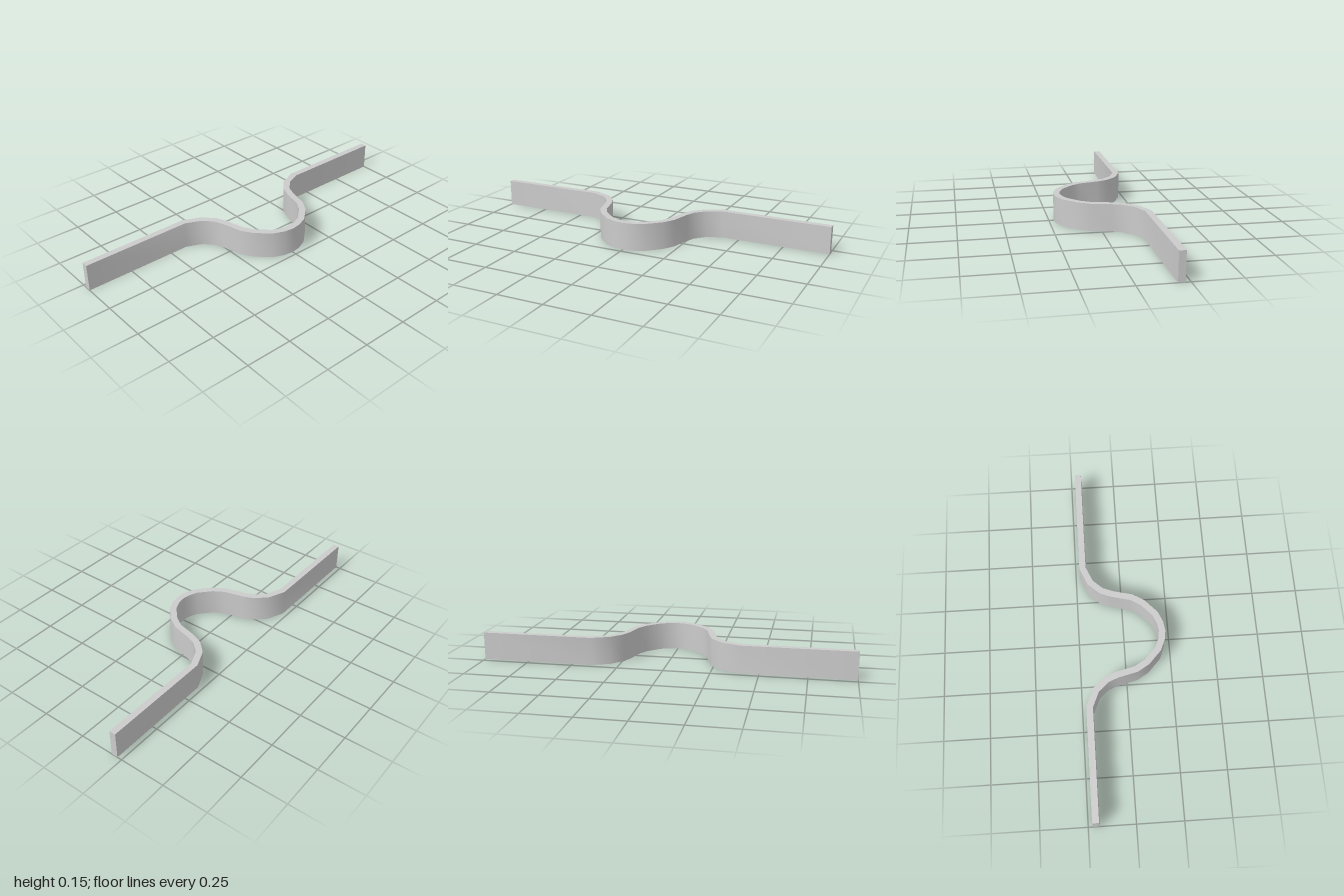
import * as THREE from 'three';
import { toCreasedNormals } from 'three/addons/utils/BufferGeometryUtils.js';

const HEIGHT = 0.15;
const THICKNESS = 0.035;

// Half of the strip's centre line as [x, z], from the middle of the bulge to the tip
const HALF = [
  [0, 0.207], [0.048, 0.2], [0.102, 0.177], [0.172, 0.112], [0.208, 0.053],
  [0.234, -0.053], [0.257, -0.11], [0.31, -0.168], [0.4, -0.207], [1, -0.207],
];

// Offsets a polyline sideways with mitred corners
function offsetLine(points, distance) {
  return points.map((p, i) => {
    const before = points[Math.max(i - 1, 0)];
    const after = points[Math.min(i + 1, points.length - 1)];
    const a = (i > 0 ? p.clone().sub(before) : after.clone().sub(p)).normalize();
    const b = (i < points.length - 1 ? after.clone().sub(p) : a.clone()).normalize();
    const miter = new THREE.Vector2(-a.y - b.y, a.x + b.x).normalize();
    const stretch = -a.y * miter.x + a.x * miter.y;
    return p.clone().addScaledVector(miter, distance / stretch);
  });
}

export function createModel() {
  const model = new THREE.Group();
  model.name = 'bentStrap';

  // Mirror the half line to get the full path, then thicken it
  const right = HALF.map(([x, z]) => new THREE.Vector2(x, z));
  const left = HALF.slice(1).reverse().map(([x, z]) => new THREE.Vector2(-x, z));
  const path = [...left, ...right];
  const outline = [
    ...offsetLine(path, -THICKNESS / 2),
    ...offsetLine(path, THICKNESS / 2).reverse(),
  ];

  // Flat strip with a rounded bulge, stood on its edge
  const geometry = new THREE.ExtrudeGeometry(new THREE.Shape(outline), {
    depth: HEIGHT, bevelEnabled: false,
  });
  geometry.rotateX(Math.PI / 2).translate(0, HEIGHT, 0);

  const strip = new THREE.Mesh(
    toCreasedNormals(geometry, 0.7),
    new THREE.MeshStandardMaterial({ color: 0xcccccc }),
  );
  strip.name = 'strip';
  model.add(strip);
  return model;
}
